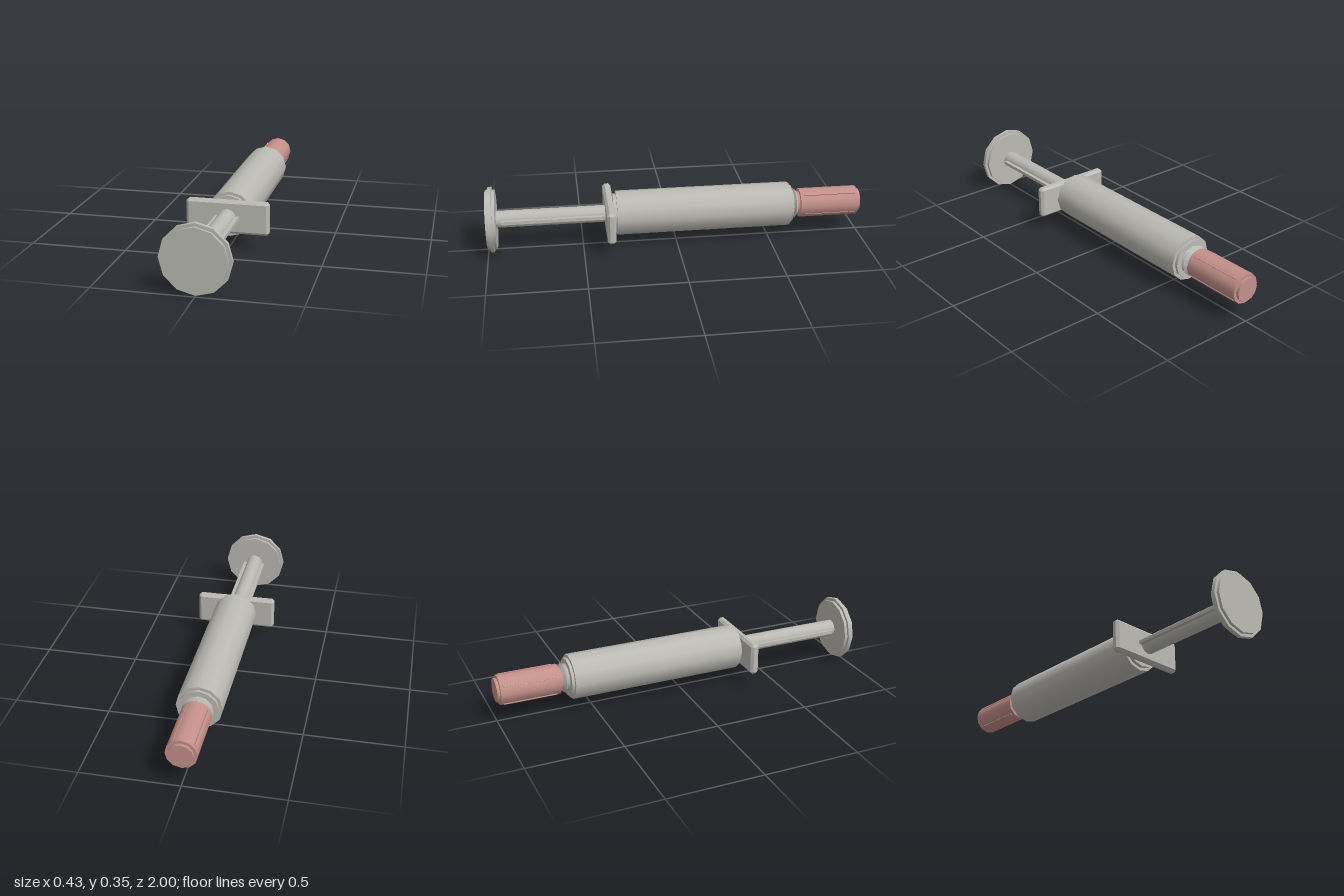
import * as THREE from 'three';
import { ConvexGeometry } from 'three/addons/geometries/ConvexGeometry.js';

const AXIS_Y = 0.174;
const SIDES = 12;

export function createModel() {
  const model = new THREE.Group();
  model.name = 'syringe';
  // All parts sit around the long axis
  const body = new THREE.Group();
  body.name = 'body';
  body.position.y = AXIS_Y;
  model.add(body);

  const grey = new THREE.MeshStandardMaterial({ color: 0xbbbab4 });
  grey.name = 'paleGrey';
  const pink = new THREE.MeshStandardMaterial({ color: 0xc4918a });
  pink.name = 'dustyPink';

  function add(name, geometry, material) {
    const mesh = new THREE.Mesh(geometry, material);
    mesh.name = name;
    body.add(mesh);
    return mesh;
  }

  // Straight or tapered section along z, from the back end to the front end
  function section(name, zBack, zFront, rBack, rFront, material) {
    const g = new THREE.CylinderGeometry(rFront, rBack, zFront - zBack, SIDES);
    g.rotateX(Math.PI / 2);
    g.translate(0, 0, (zBack + zFront) / 2);
    return add(name, g, material);
  }

  // Thumb disc with a raised rim
  section('thumbDisc', 0.95, 1.0, 0.157, 0.157, grey);
  section('thumbDiscRim', 0.965, 0.986, 0.173, 0.173, grey);

  // Plunger rod and its two side ribs
  section('plungerRod', 0.36, 0.955, 0.045, 0.045, grey);
  for (const side of [-1, 1]) {
    const rib = new THREE.BoxGeometry(0.03, 0.018, 0.56);
    rib.translate(side * 0.047, 0, 0.645);
    add(side > 0 ? 'leftPlungerRib' : 'rightPlungerRib', rib, grey);
  }

  // Finger flange: a box with every edge chamfered
  const half = [0.213, 0.086, 0.0225];
  const c = 0.013;
  const corners = [];
  for (const sx of [-1, 1]) for (const sy of [-1, 1]) for (const sz of [-1, 1]) {
    for (let full = 0; full < 3; full++) {
      const p = half.map((h, i) => (i === full ? h : h - c));
      corners.push(new THREE.Vector3(p[0] * sx, p[1] * sy, p[2] * sz));
    }
  }
  const flange = new ConvexGeometry(corners);
  flange.translate(0, 0, 0.3575);
  add('fingerFlange', flange, grey);

  // Barrel with a smaller collar at each end
  section('frontCollar', 0.31, 0.338, 0.102, 0.102, grey);
  section('barrel', -0.61, 0.32, 0.118, 0.118, grey);
  section('backCollar', -0.625, -0.6, 0.102, 0.102, grey);

  // Neck flaring into a narrow ring
  section('neck', -0.637, -0.62, 0.068, 0.076, grey);
  section('neckRingFront', -0.645, -0.635, 0.08, 0.068, grey);
  section('neckRingBack', -0.657, -0.645, 0.064, 0.08, grey);

  // Needle cap, stepped at both ends
  section('capCore', -1.0, -0.652, 0.062, 0.062, pink);
  section('capSleeve', -0.985, -0.67, 0.078, 0.078, pink);

  // Grip ribs around the cap
  for (let i = 0; i < 4; i++) {
    const rib = new THREE.BoxGeometry(0.012, 0.014, 0.28);
    rib.translate(0.0745, 0, -0.83);
    rib.rotateZ(THREE.MathUtils.degToRad(55 + i * 90));
    add('capRib' + (i + 1), rib, pink);
  }

  return model;
}
